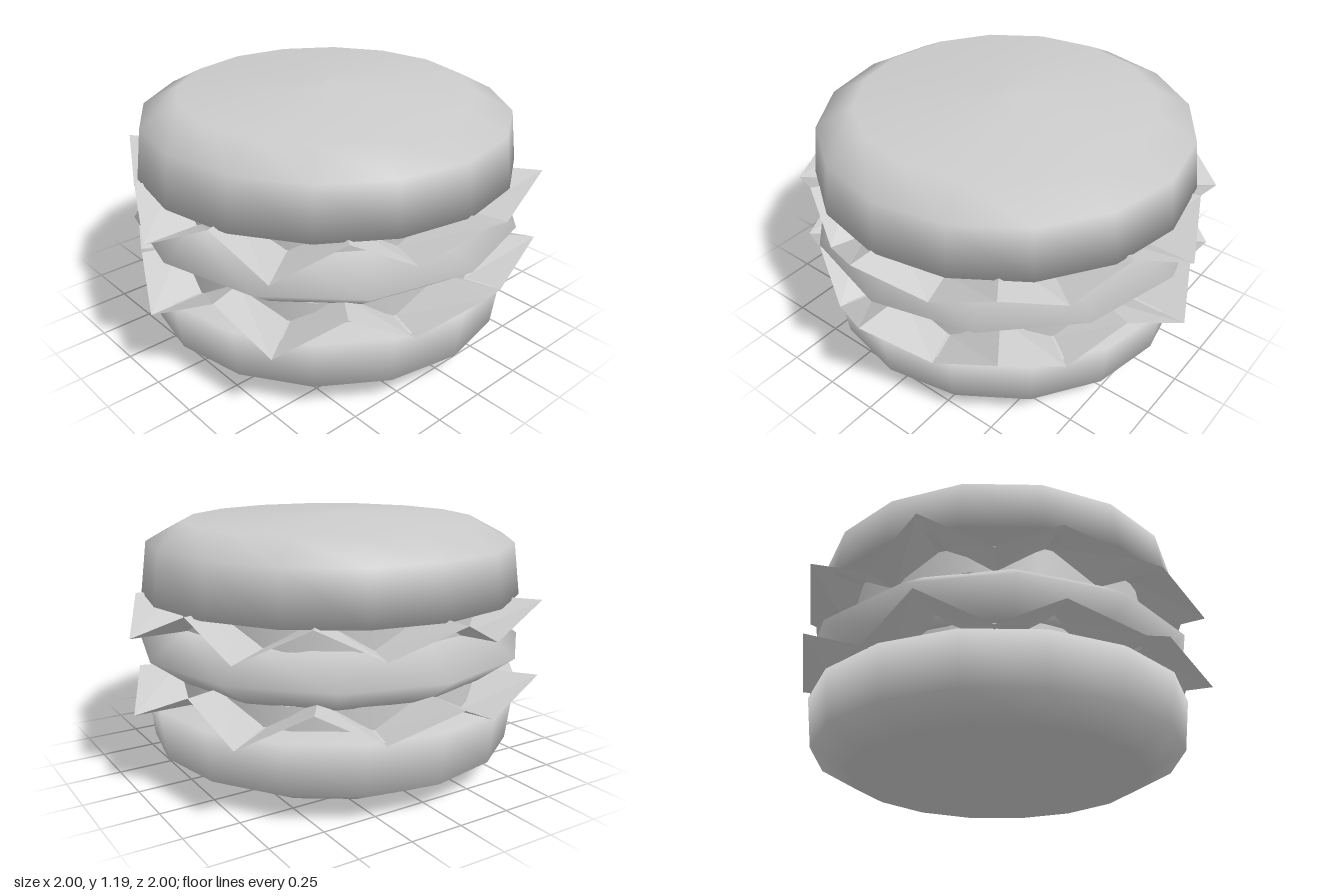
import * as THREE from 'three';

const grey = new THREE.MeshStandardMaterial({ color: 0xcccccc });
const leafMaterial = new THREE.MeshStandardMaterial({
  color: 0xcccccc, flatShading: true, side: THREE.DoubleSide,
});

// Solid of revolution from a [radius, height] profile running bottom to top
function turned(name, profile, sides) {
  const points = profile.map(([r, y]) => new THREE.Vector2(r, y));
  const mesh = new THREE.Mesh(new THREE.LatheGeometry(points, sides), grey);
  mesh.name = name;
  return mesh;
}

// Zigzag leaf ring: 20 spokes alternate high and low, some reaching further out
function lettuce(name, low, high) {
  const spokes = 20;
  const positions = [];
  const index = [];
  for (let i = 0; i < spokes; i++) {
    const a = (i / spokes) * Math.PI * 2;
    const outer = i % 5 === 0 || i % 5 === 2 ? 1 : 0.91;
    const y = i % 2 === 0 ? high : low;
    for (const r of [outer, 0.73]) positions.push(r * Math.cos(a), y, -r * Math.sin(a));
    const p = i * 2;
    const q = ((i + 1) % spokes) * 2;
    index.push(p, q, p + 1, q, q + 1, p + 1);
  }
  const geometry = new THREE.BufferGeometry();
  geometry.setAttribute('position', new THREE.Float32BufferAttribute(positions, 3));
  geometry.setIndex(index);
  geometry.computeVertexNormals();
  const mesh = new THREE.Mesh(geometry, leafMaterial);
  mesh.name = name;
  return mesh;
}

// Round slice filling the gap between two layers
function slice(name, bottom, top) {
  const mesh = new THREE.Mesh(new THREE.CylinderGeometry(0.74, 0.74, top - bottom, 16), grey);
  mesh.position.y = (bottom + top) / 2;
  mesh.name = name;
  return mesh;
}

export function createModel() {
  const group = new THREE.Group();
  group.name = 'burger';

  // Buns: the lower one is the upper one turned upside down
  const bun = [[0, 0.83], [0.885, 0.83], [0.855, 1.065], [0.685, 1.155], [0, 1.19]];
  const flipped = bun.map(([r, y]) => [r, 1.195 - y]).reverse();
  group.add(turned('topBun', bun, 16), turned('bottomBun', flipped, 16));

  // Patty with a sharp rim
  group.add(turned('patty', [[0, 0.465], [0.75, 0.465], [0.915, 0.588], [0.75, 0.707], [0, 0.707]], 12));

  // Fillings above and below the patty
  group.add(slice('upperSlice', 0.7, 0.835), slice('lowerSlice', 0.36, 0.47));
  group.add(lettuce('upperLettuce', 0.705, 0.84), lettuce('lowerLettuce', 0.362, 0.498));

  return group;
}
